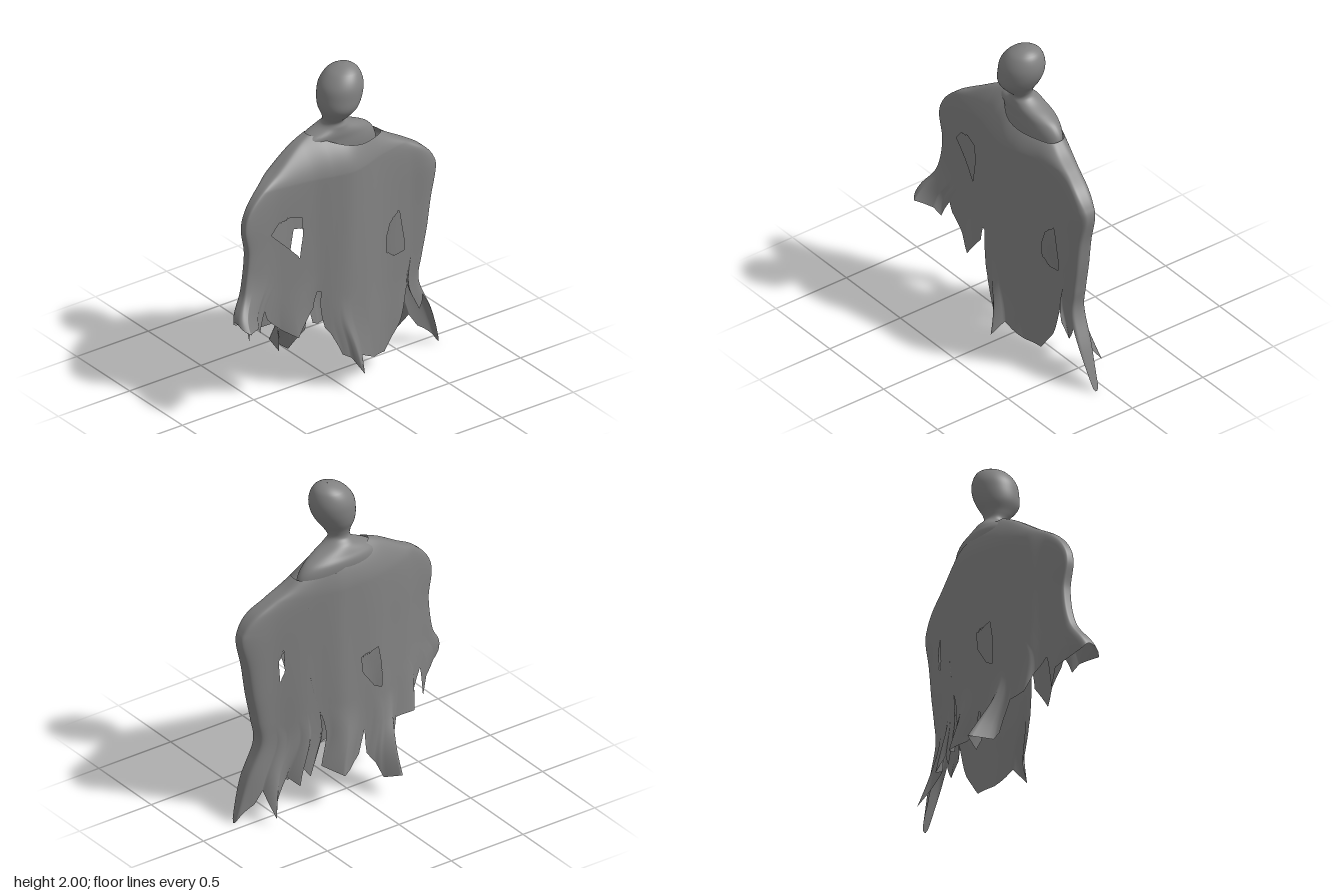
import * as THREE from 'three';

const { clamp, lerp } = THREE.MathUtils;

// Smooth interpolation through rows of [key, ...values]
function sample(rows, k) {
  const n = rows.length;
  k = clamp(k, rows[0][0], rows[n - 1][0]);
  let i = 0;
  while (i < n - 2 && k > rows[i + 1][0]) i++;
  const a = rows[i], b = rows[i + 1], p = rows[Math.max(0, i - 1)], q = rows[Math.min(n - 1, i + 2)];
  const h = b[0] - a[0], u = (k - a[0]) / h;
  return a.slice(1).map((v, c) => {
    c += 1;
    const m0 = (b[c] - p[c]) / (b[0] - p[0]) * h, m1 = (q[c] - a[c]) / (q[0] - a[0]) * h;
    return (2 * u ** 3 - 3 * u * u + 1) * v + (u ** 3 - 2 * u * u + u) * m0
      + (3 * u * u - 2 * u ** 3) * b[c] + (u ** 3 - u * u) * m1;
  });
}

// Grid surface closed around its columns; skip(centre, column) leaves out a triangle
function loft(rows, cols, point, skip = () => false) {
  const pts = [], index = [];
  for (let i = 0; i <= rows; i++) for (let j = 0; j < cols; j++) pts.push(point(i, j));
  const mid = new THREE.Vector3();
  for (let i = 0; i < rows; i++) {
    for (let j = 0; j < cols; j++) {
      const k = (j + 1) % cols, a = i * cols + j, c = i * cols + k, b = a + cols, d = c + cols;
      for (const tri of [[a, c, b], [c, d, b]]) {
        mid.set(0, 0, 0);
        tri.forEach(v => mid.addScaledVector(pts[v], 1 / 3));
        if (!skip(mid, j)) index.push(...tri);
      }
    }
  }
  const g = new THREE.BufferGeometry().setFromPoints(pts);
  g.setIndex(index);
  g.computeVertexNormals();
  return g;
}

// Cloak rings from collar to floor: [t, left end x, y, right end x, y]
const RINGS = [
  [0, -0.14, 1.6, 0.35, 1.48], [1, -0.25, 1.545, 0.42, 1.43], [2, -0.39, 1.455, 0.52, 1.375],
  [3, -0.52, 1.375, 0.62, 1.31], [4, -0.61, 1.28, 0.685, 1.23], [5, -0.645, 1.17, 0.705, 1.15],
  [6, -0.62, 1.0, 0.665, 0.98], [7, -0.655, 0.79, 0.637, 0.79], [8, -0.74, 0.64, 0.605, 0.62],
  [9, -0.74, 0.46, 0.587, 0.46], [10, -0.73, 0.25, 0.67, 0.25], [11, -0.74, 0, 0.745, 0],
];
// Depth of the cloak across its width: [x, front z, back z]
const DEPTH = [
  [-0.75, 0.165, 0.06], [-0.65, 0.148, 0.04], [-0.5, 0.137, 0], [-0.4, 0.14, -0.05], [-0.2, 0.162, -0.1],
  [-0.08, 0.19, -0.115], [0.04, 0.21, -0.118], [0.14, 0.195, -0.115], [0.3, 0.145, -0.08], [0.5, 0.13, -0.03],
  [0.65, 0.155, -0.012], [0.75, 0.12, 0.01],
];
// Ragged hem: [x, y, flare in z]
const HEM_FRONT = [
  [-9, 0.64, 0.05], [-0.7, 0.59, 0.11], [-0.6, 0.57, 0.05], [-0.57, 0.52, 0.02], [-0.52, 0.63, 0],
  [-0.5, 0.57, 0], [-0.41, 0.48, 0], [-0.31, 0.41, 0.02], [-0.2, 0.56, 0], [-0.175, 0.66, 0],
  [-0.15, 0.655, 0], [-0.13, 0.42, 0], [-0.1, 0.38, 0], [-0.03, 0.23, 0], [0.02, 0.2, 0.02],
  [0.065, 0.11, 0.09], [0.1, 0.19, 0.02], [0.22, 0.12, 0], [0.32, 0.1, 0], [0.37, 0.17, 0],
  [0.43, 0.25, 0], [0.49, 0.47, 0], [0.51, 0.38, 0.02], [0.57, 0.29, 0], [0.6, 0.37, 0],
];
const HEM_BACK = [
  [9, 0, 0], [0.64, 0.11, 0], [0.59, 0.19, 0], [0.57, 0.05, -0.1], [0.53, 0.13, -0.05], [0.44, 0.24, 0],
  [0.4, 0.2, -0.06], [0.36, 0.3, 0], [0.31, 0.22, 0], [0.285, 0.6, 0], [0.27, 0.6, 0], [0.24, 0.27, 0],
  [0.15, 0.22, -0.08], [0.05, 0.25, -0.01], [0, 0.28, 0], [-0.03, 0.42, 0], [-0.06, 0.26, 0],
  [-0.1, 0.2, -0.03], [-0.12, 0.12, -0.08], [-0.18, 0.16, -0.18], [-0.22, 0.16, -0.04], [-0.24, 0.2, -0.02],
  [-0.29, 0.4, 0], [-0.42, 0.4, -0.03], [-0.45, 0.51, 0], [-0.52, 0.6, 0], [-0.55, 0.4, 0],
  [-0.58, 0.52, 0], [-0.66, 0.57, 0.03], [-9, 0.64, 0.05],
];
// Torn holes: [front or back, outline in x, y]
const HOLES = [
  [1, [[-0.47, 1.1], [-0.42, 1.16], [-0.35, 1.18], [-0.27, 1.16], [-0.265, 1.05], [-0.285, 0.91], [-0.36, 0.99]]],
  [1, [[0.43, 0.97], [0.36, 0.91], [0.33, 0.82], [0.335, 0.74], [0.39, 0.69], [0.465, 0.7], [0.465, 0.77]]],
  [-1, [[-0.02, 0.9], [-0.14, 0.93], [-0.165, 0.8], [-0.165, 0.66], [-0.11, 0.69], [-0.03, 0.8]]],
  [-1, [[0.46, 1.07], [0.49, 1.0], [0.48, 0.87], [0.455, 0.93]]],
];

function inside(p, poly) {
  let hit = false;
  poly.forEach(([ax, ay], i) => {
    const [bx, by] = poly[(i + 1) % poly.length];
    if ((ay > p.y) !== (by > p.y) && p.x < ax + (p.y - ay) / (by - ay) * (bx - ax)) hit = !hit;
  });
  return hit;
}

// Pull nearby vertices onto a hole outline so its edge is clean
function snap(p, poly) {
  poly.forEach(([ax, ay], i) => {
    const [bx, by] = poly[(i + 1) % poly.length], dx = bx - ax, dy = by - ay;
    const u = clamp(((p.x - ax) * dx + (p.y - ay) * dy) / (dx * dx + dy * dy), 0, 1);
    const x = ax + u * dx, y = ay + u * dy;
    if (Math.hypot(p.x - x, p.y - y) < 0.0055) { p.x = x; p.y = y; }
  });
}

function cloakPoint(t, angle) {
  const [lx, ly, rx, ry] = sample(RINGS, t);
  const s = (Math.cos(angle) + 1) / 2, sin = Math.sin(angle);
  const x = lerp(lx, rx, s), top = Math.max(0, 1 - t / 4) ** 2;
  const y = lerp(ly, ry, s) - 0.03 * top * sin * sin;
  let [front, back] = sample(DEPTH, x);
  // The cloth leans in towards the neck above the shoulders
  const lean = Math.max(0, y - 1.38);
  front -= 1.8 * lean * lean + 0.12 * lean;
  back += 1.2 * lean * lean;
  const half = (front - back) / 2 * Math.abs(sin) ** (0.36 + 0.2 * top);
  const fold = 0.008 * Math.sin(x * 24 + t * 0.3) * Math.min(1, t / 10) ** 3 * Math.abs(sin);
  return new THREE.Vector3(x, y, (front + back) / 2 + Math.sign(sin) * half + fold);
}

// Ring parameter at which a column reaches height y
function ringAt(y, angle) {
  let a = 0, b = 11;
  for (let i = 0; i < 24; i++) {
    const m = (a + b) / 2;
    if (cloakPoint(m, angle).y > y) a = m; else b = m;
  }
  return a;
}

function cloakGeometry() {
  // Hem points become falling angles around the cloak, then are subdivided into columns
  const toAngle = side => ([x, y, flare]) => {
    const [lx, , rx] = sample(RINGS, ringAt(y, Math.PI / 2));
    return [side * Math.acos(clamp((x - lx) / (rx - lx) * 2 - 1, -1, 1)), y, flare];
  };
  const hem = [...HEM_FRONT.map(toAngle(1)), ...HEM_BACK.map(toAngle(-1))];
  const columns = [];
  for (let i = 0; i < hem.length - 1; i++) {
    const a = hem[i], b = hem[i + 1];
    b[0] = Math.min(b[0], a[0] - 0.008);
    const n = Math.max(2, Math.ceil((a[0] - b[0]) / 0.013));
    for (let k = 0; k < n; k++) {
      const [angle, y, flare] = a.map((v, c) => lerp(v, b[c], k / n));
      columns.push({ angle, flare, end: ringAt(y, angle) });
    }
  }
  columns.reverse();
  const rows = 120;
  const holesAt = j => HOLES.filter(h => h[0] === Math.sign(columns[j].angle));
  return loft(rows, columns.length, (i, j) => {
    const { angle, flare, end } = columns[j], v = i / rows;
    const p = cloakPoint(v * end, angle);
    p.z += flare * Math.max(0, (v - 0.78) / 0.22) ** 2;
    holesAt(j).forEach(h => snap(p, h[1]));
    return p;
  }, (p, j) => holesAt(j).some(h => inside(p, h[1])));
}

// Head, neck and shoulders: [ring, y, centre x, centre z, radius x, radius z]
const BODY = [
  [0, 2, 0.092, 0.06, 0.001, 0.001], [0.5, 1.992, 0.09, 0.06, 0.045, 0.048], [1, 1.965, 0.08, 0.06, 0.09, 0.093],
  [2, 1.9, 0.064, 0.063, 0.127, 0.127], [3, 1.83, 0.052, 0.066, 0.131, 0.132], [4, 1.76, 0.036, 0.07, 0.113, 0.122],
  [5, 1.7, 0.028, 0.06, 0.079, 0.086], [6, 1.655, 0.027, 0.04, 0.064, 0.061], [7, 1.62, 0.035, 0.025, 0.095, 0.08],
  [8, 1.58, 0.035, 0.015, 0.185, 0.093], [9, 1.54, 0.045, 0.005, 0.245, 0.1], [10, 1.48, 0.05, 0.005, 0.283, 0.098],
  [11, 1.4, 0.05, 0.01, 0.29, 0.085], [12, 1.3, 0.05, 0.01, 0.25, 0.07],
];

function bodyGeometry() {
  const rows = 72, cols = 48;
  return loft(rows, cols, (i, j) => {
    const [y, cx, cz, rx, rz] = sample(BODY, i / rows * 12), a = j / cols * Math.PI * 2;
    return new THREE.Vector3(cx + rx * Math.cos(a), y, cz + rz * Math.sin(a));
  });
}

export function createModel() {
  const group = new THREE.Group();
  const material = new THREE.MeshStandardMaterial({ color: 0x828282, side: THREE.DoubleSide });
  const add = (name, geometry) => {
    const mesh = new THREE.Mesh(geometry, material);
    mesh.name = name;
    group.add(mesh);
  };
  add('tatteredCloak', cloakGeometry());
  add('headAndShoulders', bodyGeometry());
  return group;
}
